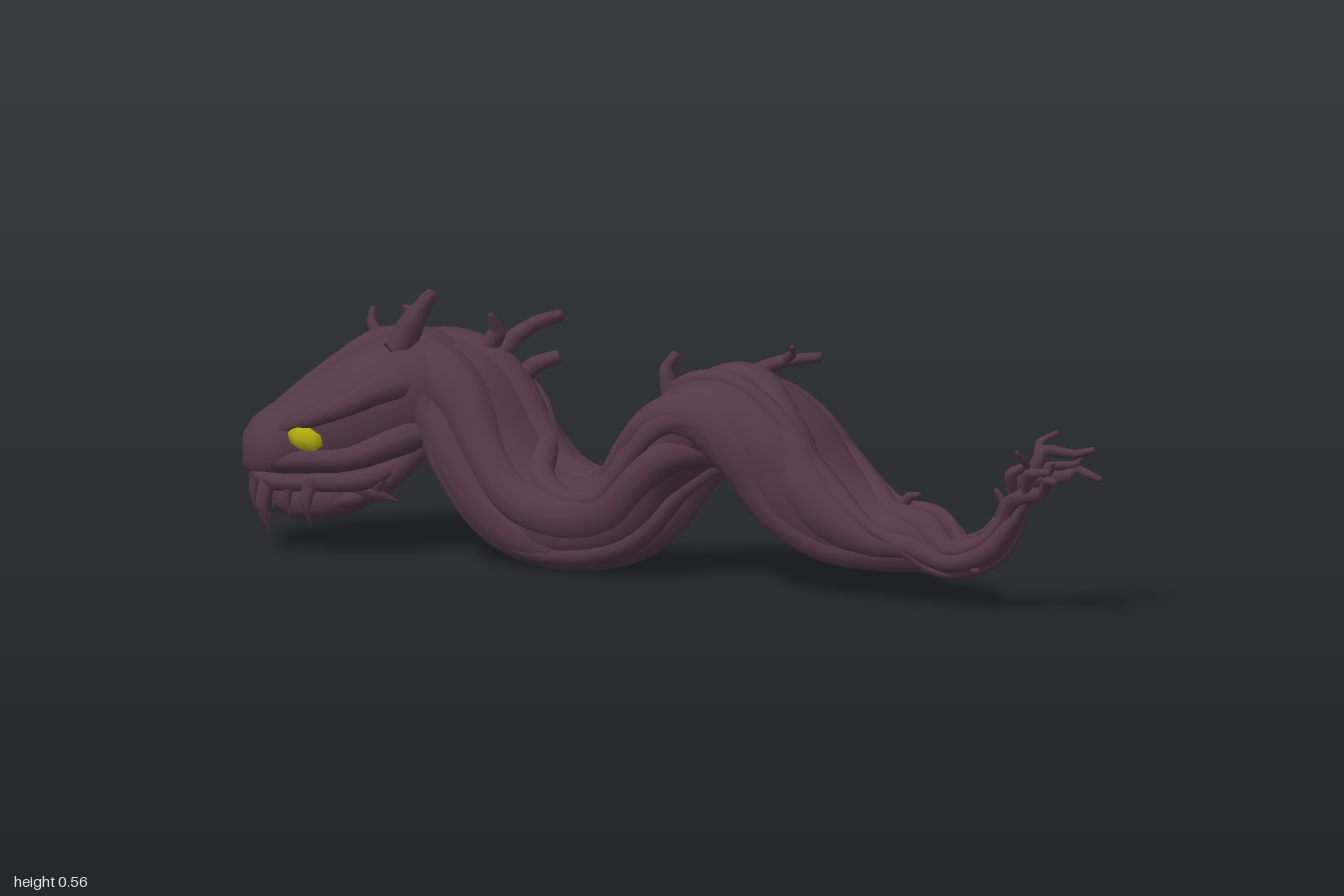
import * as THREE from 'three';

const V = (a) => new THREE.Vector3(a[0], a[1], a[2]);
const bark = new THREE.MeshStandardMaterial({ color: 0x533846 });
bark.name = 'dark bark';
const eyeYellow = new THREE.MeshStandardMaterial({ color: 0xb4ae10 });
eyeYellow.name = 'eye yellow';
const soft = (v, e) => Math.sign(v) * Math.pow(Math.abs(v), e);

// closed skin over a list of equal-length rings, capped at both ends
function loft(rings) {
  const n = rings[0].length, pos = [], idx = [];
  rings.forEach((r) => r.forEach((p) => pos.push(p.x, p.y, p.z)));
  for (let i = 0; i < rings.length - 1; i++) {
    for (let j = 0; j < n; j++) {
      const a = i * n + j, b = i * n + (j + 1) % n;
      idx.push(a, b, a + n, b, b + n, a + n);
    }
  }
  [0, rings.length - 1].forEach((k) => {
    const c = new THREE.Vector3();
    rings[k].forEach((p) => c.addScaledVector(p, 1 / n));
    const ci = pos.length / 3;
    pos.push(c.x, c.y, c.z);
    for (let j = 0; j < n; j++) {
      const a = k * n + j, b = k * n + (j + 1) % n;
      if (k === 0) idx.push(ci, b, a); else idx.push(ci, a, b);
    }
  });
  const g = new THREE.BufferGeometry();
  g.setAttribute('position', new THREE.Float32BufferAttribute(pos, 3));
  g.setIndex(idx);
  g.computeVertexNormals();
  return g;
}

// round skin along centre points with one radius per point
function tube(pts, radii, sides) {
  const N = new THREE.Vector3(0.13, 0.31, 0.94), last = pts.length - 1;
  return loft(pts.map((p, i) => {
    const T = pts[Math.min(i + 1, last)].clone().sub(pts[Math.max(i - 1, 0)]).normalize();
    N.addScaledVector(T, -N.dot(T)).normalize();
    const B = T.clone().cross(N);
    return Array.from({ length: sides }, (_, j) => {
      const a = (j / sides) * Math.PI * 2;
      return p.clone().addScaledVector(N, Math.cos(a) * radii[i]).addScaledVector(B, Math.sin(a) * radii[i]);
    });
  }));
}

// limb through a few points, radii spread evenly along it; low tension gives crooked bends
function limb(parent, name, points, radii, sides = 8, steps = 16, tension = 0.5) {
  const curve = new THREE.CatmullRomCurve3(points.map(V), false, 'catmullrom', tension);
  const pts = [], rs = [];
  for (let i = 0; i <= steps; i++) {
    const t = i / steps, f = t * (radii.length - 1), k = Math.min(Math.floor(f), radii.length - 2);
    pts.push(curve.getPoint(t));
    rs.push(THREE.MathUtils.lerp(radii[k], radii[k + 1], f - k));
  }
  const m = new THREE.Mesh(tube(pts, rs, sides), bark);
  m.name = name;
  parent.add(m);
}

// body stations: x, y, z, half height, half width
const BODY = [
  [-0.72, 0.33, -0.03, 0.09, 0.11], [-0.65, 0.36, -0.05, 0.115, 0.145], [-0.55, 0.325, -0.06, 0.13, 0.16],
  [-0.465, 0.225, -0.05, 0.128, 0.162], [-0.36, 0.135, -0.038, 0.12, 0.165], [-0.22, 0.112, -0.03, 0.108, 0.158],
  [-0.10, 0.155, -0.02, 0.11, 0.15], [-0.03, 0.255, -0.02, 0.102, 0.15], [0.04, 0.335, -0.025, 0.107, 0.153],
  [0.13, 0.363, -0.035, 0.108, 0.162], [0.22, 0.315, -0.04, 0.11, 0.162], [0.30, 0.225, -0.045, 0.112, 0.152],
  [0.40, 0.167, -0.042, 0.1, 0.127], [0.50, 0.145, -0.035, 0.078, 0.1], [0.60, 0.147, -0.022, 0.072, 0.08],
  [0.69, 0.122, 0, 0.046, 0.055], [0.77, 0.15, 0, 0.042, 0.042], [0.82, 0.21, 0, 0.032, 0.03], [0.86, 0.27, 0, 0.014, 0.014],
];
const bodyPath = new THREE.CatmullRomCurve3(BODY.map(V));
const bodySize = new THREE.CatmullRomCurve3(BODY.map((b) => new THREE.Vector3(b[3], b[4], 0)));

// point on the slightly boxy body section at t, angle a, inset from the surface
function onBody(t, a, inset) {
  const p = bodyPath.getPoint(t), s = bodySize.getPoint(t), T = bodyPath.getTangent(t);
  const N = new THREE.Vector3(-T.y, T.x, 0).normalize();
  p.addScaledVector(N, soft(Math.cos(a), 0.8) * s.x * (1 - inset));
  p.z += soft(Math.sin(a), 0.8) * (s.y - inset * s.x);
  return p;
}

function buildBody(root) {
  const body = new THREE.Group();
  body.name = 'body';
  root.add(body);
  const steps = 130, sides = 24;
  const rings = Array.from({ length: steps + 1 }, (_, i) =>
    Array.from({ length: sides }, (_, j) => onBody(i / steps, (j / sides) * Math.PI * 2, 0.14)));
  const core = new THREE.Mesh(loft(rings), bark);
  core.name = 'bodyCore';
  body.add(core);
  // vines twisting round the core
  const vine = (name, a0, twist, wob, thick, phase) => {
    const pts = [], rs = [];
    for (let i = 0; i <= steps; i++) {
      const t = i / steps;
      const w = thick * (1 + 0.18 * Math.sin(t * 25 + phase * 2));
      pts.push(onBody(t, a0 + twist * t + wob * Math.sin(t * 13 + phase), w * 0.97));
      rs.push(bodySize.getPoint(t).x * w);
    }
    const m = new THREE.Mesh(tube(pts, rs, 12), bark);
    m.name = name;
    body.add(m);
  };
  for (let k = 0; k < 5; k++) vine('thickVine', (k / 5) * Math.PI * 2, 5.2, 0.35, 0.47 + 0.06 * Math.sin(k * 2.3), k * 1.7);
  for (let k = 0; k < 3; k++) vine('thinVine', (k / 3) * Math.PI * 2 + 0.4, 7.5, 0.5, 0.22, k * 2.1);
}

// head stations: distance forward, top, bottom, half width
const HEAD = [
  [-0.06, 0.45, 0.25, 0.11], [0, 0.475, 0.23, 0.145], [0.08, 0.468, 0.20, 0.155], [0.15, 0.438, 0.18, 0.152],
  [0.21, 0.4, 0.17, 0.146], [0.27, 0.36, 0.165, 0.132], [0.33, 0.315, 0.16, 0.117], [0.37, 0.285, 0.165, 0.085],
  [0.392, 0.25, 0.185, 0.045],
];
const JAW = [
  [0.02, 0.26, 0.21, 0.08], [0.08, 0.24, 0.15, 0.115], [0.15, 0.21, 0.095, 0.115], [0.22, 0.185, 0.075, 0.11],
  [0.28, 0.175, 0.075, 0.09], [0.33, 0.17, 0.1, 0.045],
];
function shell(stations, sides = 24) {
  const c = new THREE.CatmullRomCurve3(stations.map(V));
  const w = new THREE.CatmullRomCurve3(stations.map((s) => new THREE.Vector3(s[3], 0, 0)));
  return loft(Array.from({ length: 33 }, (_, i) => {
    const p = c.getPoint(i / 32), hw = w.getPoint(i / 32).x;
    return Array.from({ length: sides }, (_, j) => {
      const a = (j / sides) * Math.PI * 2;
      return new THREE.Vector3(-p.x, (p.y + p.z) / 2 + soft(Math.cos(a), 0.85) * (p.y - p.z) / 2, -soft(Math.sin(a), 0.85) * hw);
    });
  }));
}

function buildHead(root) {
  const head = new THREE.Group();
  head.name = 'head';
  head.position.set(-0.63, 0, -0.045);
  head.rotation.y = 0.56;
  root.add(head);
  [['skull', HEAD], ['lowerJaw', JAW]].forEach(([name, st]) => {
    const m = new THREE.Mesh(shell(st), bark);
    m.name = name;
    head.add(m);
  });
  limb(head, 'crownRidge', [[0.08, 0.4, 0], [-0.08, 0.45, 0], [-0.22, 0.378, 0], [-0.36, 0.275, 0]], [0.02, 0.035, 0.025, 0.012]);
  [1, -1].forEach((s) => {
    const add = (name, pts, radii, sides) => limb(head, name, pts.map(([x, y, z]) => [x, y, z * s]), radii, sides);
    // ridges and vines over the skull
    add('browRidge', [[0.08, 0.36, 0.06], [-0.08, 0.375, 0.13], [-0.19, 0.33, 0.132], [-0.275, 0.298, 0.118], [-0.36, 0.255, 0.06]], [0.01, 0.036, 0.027, 0.02, 0.01]);
    add('cheekVine', [[0.08, 0.3, 0.06], [-0.05, 0.27, 0.135], [-0.17, 0.225, 0.135], [-0.27, 0.22, 0.122], [-0.36, 0.2, 0.07]], [0.01, 0.035, 0.027, 0.022, 0.014]);
    add('lipVine', [[-0.03, 0.23, 0.1], [-0.13, 0.18, 0.13], [-0.25, 0.172, 0.122], [-0.34, 0.172, 0.09], [-0.378, 0.195, 0]], [0.01, 0.022, 0.019, 0.018, 0.016]);
    add('jawHinge', [[0.03, 0.28, 0.06], [-0.06, 0.21, 0.1], [-0.14, 0.145, 0.105], [-0.27, 0.11, 0.08]], [0.012, 0.034, 0.024, 0.008]);
    // teeth
    add('frontFang', [[-0.335, 0.18, 0.085], [-0.352, 0.12, 0.098], [-0.335, 0.06, 0.095]], [0.022, 0.015, 0.001], 6);
    add('sideFang', [[-0.25, 0.18, 0.125], [-0.26, 0.13, 0.135], [-0.25, 0.08, 0.13]], [0.019, 0.013, 0.001], 6);
    [[0.295, 0.112], [0.365, 0.045]].forEach(([x, z]) =>
      add('smallTooth', [[-x, 0.18, z], [-x - 0.004, 0.14, z], [-x, 0.1, z]], [0.014, 0.01, 0.001], 6));
    add('jawSpike', [[-0.17, 0.17, 0.1], [-0.12, 0.15, 0.125], [-0.065, 0.13, 0.115]], [0.024, 0.016, 0.001], 6);
    // angular eye
    const eye = new THREE.Mesh(new THREE.SphereGeometry(1, 6, 4), eyeYellow);
    eye.name = 'eye';
    eye.scale.set(0.04, 0.026, 0.02);
    eye.position.set(s > 0 ? -0.262 : -0.29, 0.266, (s > 0 ? 0.134 : 0.126) * s);
    eye.rotation.set(0, -0.25 * s, -0.3);
    head.add(eye);
  });
}

export function createModel() {
  const root = new THREE.Group();
  root.name = 'vineSerpent';
  buildBody(root);
  buildHead(root);
  const twig = (name, pts, r, tip = 0.35) => limb(root, name, pts, [r, r * 0.75, r * tip], 6, 12, 0.2);
  // horns and broken twigs along the back
  [
    [[[-0.65, 0.44, 0.05], [-0.615, 0.51, 0.045], [-0.575, 0.57, 0.035]], 0.034],
    [[[-0.61, 0.5, 0.04], [-0.63, 0.525, 0.03], [-0.655, 0.53, 0.02]], 0.014],
    [[[-0.72, 0.44, -0.01], [-0.755, 0.48, -0.015], [-0.755, 0.515, -0.02]], 0.016],
    [[[-0.53, 0.42, -0.1], [-0.5, 0.475, -0.1], [-0.5, 0.515, -0.07]], 0.024, 0.2],
    [[[-0.51, 0.4, -0.1], [-0.48, 0.46, -0.14], [-0.44, 0.49, -0.17], [-0.41, 0.5, -0.21]], 0.022, 0.55],
    [[[-0.48, 0.35, -0.1], [-0.43, 0.405, -0.14], [-0.39, 0.42, -0.17]], 0.024, 0.6],
    [[[-0.02, 0.39, -0.01], [-0.03, 0.45, -0.01], [-0.01, 0.485, -0.02]], 0.02, 0.5],
    [[[0.12, 0.44, -0.08], [0.2, 0.475, -0.1], [0.27, 0.485, -0.14]], 0.02, 0.5],
    [[[0.2, 0.475, -0.1], [0.23, 0.495, -0.09], [0.24, 0.515, -0.07]], 0.012],
    [[[0.52, 0.19, -0.02], [0.56, 0.235, -0.02], [0.585, 0.24, -0.02]], 0.014],
    [[[0.68, 0.12, 0.01], [0.73, 0.105, 0.02], [0.76, 0.1, 0.03]], 0.018],
    [[[0.72, 0.14, -0.03], [0.76, 0.15, -0.05], [0.79, 0.145, -0.055]], 0.016],
    [[[-0.82, 0.28, -0.1], [-0.75, 0.28, -0.18], [-0.68, 0.28, -0.235]], 0.028, 0.05],
  ].forEach(([p, r, tip]) => twig('backTwig', p, r, tip));
  // crooked forked tail twigs
  [
    [[[0.79, 0.17, 0], [0.84, 0.25, -0.03], [0.86, 0.3, -0.02], [0.92, 0.305, -0.05], [0.94, 0.32, -0.07], [0.99, 0.3, -0.08]], 0.021],
    [[[0.8, 0.18, 0], [0.83, 0.25, 0.02], [0.88, 0.275, 0.05], [0.93, 0.285, 0.05], [0.96, 0.32, 0.08], [0.99, 0.32, 0.1]], 0.021],
    [[[0.82, 0.21, 0], [0.85, 0.29, 0.01], [0.89, 0.32, 0.03], [0.91, 0.37, 0.01], [0.96, 0.36, -0.02], [1, 0.37, -0.04]], 0.02],
    [[[0.84, 0.27, 0.02], [0.85, 0.32, 0.05], [0.89, 0.34, 0.05], [0.89, 0.375, 0.09]], 0.014],
    [[[0.88, 0.3, -0.03], [0.9, 0.33, -0.02], [0.95, 0.335, -0.05], [0.98, 0.37, -0.045]], 0.012],
    [[[0.89, 0.28, 0.05], [0.91, 0.33, 0.08], [0.96, 0.335, 0.07], [0.98, 0.36, 0.09]], 0.012],
    [[[0.9, 0.35, 0.02], [0.88, 0.38, -0.02], [0.91, 0.4, -0.045]], 0.012],
    [[[0.79, 0.19, 0.01], [0.815, 0.25, 0.02], [0.8, 0.28, 0.03]], 0.013],
  ].forEach(([p, r]) => twig('tailTwig', p, r));
  return root;
}
